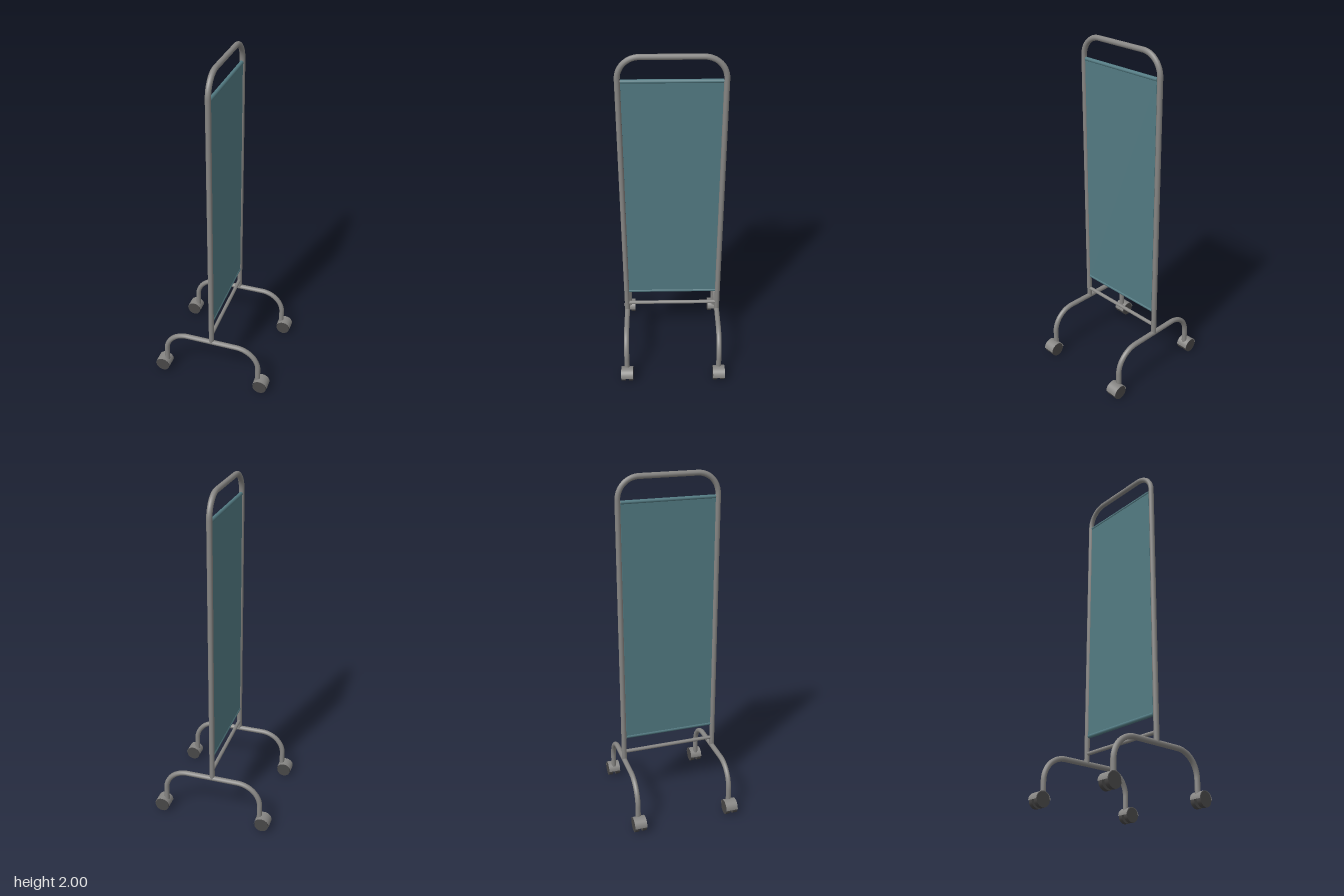
import * as THREE from 'three';

const V = (x, y, z) => new THREE.Vector3(x, y, z);
const SIDE_Z = 0.282; // upright and leg planes
const TUBE_R = 0.0155;

// Path of straight runs and quadratic bends; each entry is a corner with its bend radius
function bentPath(points, bend) {
  const path = new THREE.CurvePath();
  let start = points[0];
  for (let i = 1; i < points.length - 1; i++) {
    const c = points[i];
    const a = c.clone().add(points[i - 1].clone().sub(c).setLength(bend));
    const b = c.clone().add(points[i + 1].clone().sub(c).setLength(bend));
    const k = 0.56;
    path.add(new THREE.LineCurve3(start, a));
    path.add(new THREE.CubicBezierCurve3(a, a.clone().lerp(c, k), b.clone().lerp(c, k), b));
    start = b;
  }
  path.add(new THREE.LineCurve3(start, points[points.length - 1]));
  return path;
}

export function createModel() {
  const metal = new THREE.MeshStandardMaterial({ color: 0x868583, side: THREE.DoubleSide });
  metal.name = 'grey metal';
  const cloth = new THREE.MeshStandardMaterial({ color: 0x527a82 });
  cloth.name = 'teal cloth';
  const rubber = new THREE.MeshStandardMaterial({ color: 0x484747 });
  rubber.name = 'dark rubber';

  const model = new THREE.Group();
  model.name = 'mobileScreen';

  const add = (parent, name, geometry, material, x = 0, y = 0, z = 0) => {
    const mesh = new THREE.Mesh(geometry, material);
    mesh.name = name;
    mesh.position.set(x, y, z);
    parent.add(mesh);
    return mesh;
  };
  // Cylinder lying along z
  const rod = (r, length, sides = 12) =>
    new THREE.CylinderGeometry(r, r, length, sides).rotateX(Math.PI / 2);

  // Upright hoop
  const hoop = bentPath([
    V(0, 0.295, SIDE_Z), V(0, 1.984, SIDE_Z), V(0, 1.984, -SIDE_Z), V(0, 0.295, -SIDE_Z),
  ], 0.12);
  add(model, 'uprightFrame', new THREE.TubeGeometry(hoop, 240, TUBE_R, 10), metal);

  // Lower crossbar
  add(model, 'crossbar', rod(0.011, SIDE_Z * 2), metal, 0, 0.35, 0);

  // Cloth panel, with its carrying rods and hems
  add(model, 'clothPanel', new THREE.BoxGeometry(0.014, 1.41, 0.532), cloth, 0, 1.15, 0);
  for (const y of [0.45, 1.852]) {
    add(model, 'panelHem', rod(0.011, 0.532), cloth, 0, y, 0);
    add(model, 'panelRod', rod(0.007, SIDE_Z * 2), metal, 0, y, 0);
  }

  // Arched legs
  for (const z of [SIDE_Z, -SIDE_Z]) {
    const arch = bentPath([
      V(-0.293, 0.07, z), V(-0.293, 0.293, z), V(0.293, 0.293, z), V(0.293, 0.07, z),
    ], 0.14);
    add(model, 'archedLeg', new THREE.TubeGeometry(arch, 100, TUBE_R, 10), metal);

    // Casters: twin wheels under a half-round hood
    for (const side of [-1, 1]) {
      const caster = new THREE.Group();
      caster.name = 'caster';
      caster.position.set(side * 0.314, 0.044, z);
      for (const dz of [-0.0225, 0.0225]) {
        add(caster, 'wheel', rod(0.042, 0.026, 20), rubber, 0, 0, dz);
      }
      add(caster, 'axle', rod(0.022, 0.03, 12), rubber);
      const hood = new THREE.CylinderGeometry(0.046, 0.046, 0.072, 16, 1, true, -Math.PI / 2, Math.PI);
      add(caster, 'hood', hood.rotateX(-Math.PI / 2), metal);
      model.add(caster);
    }
  }
  return model;
}
